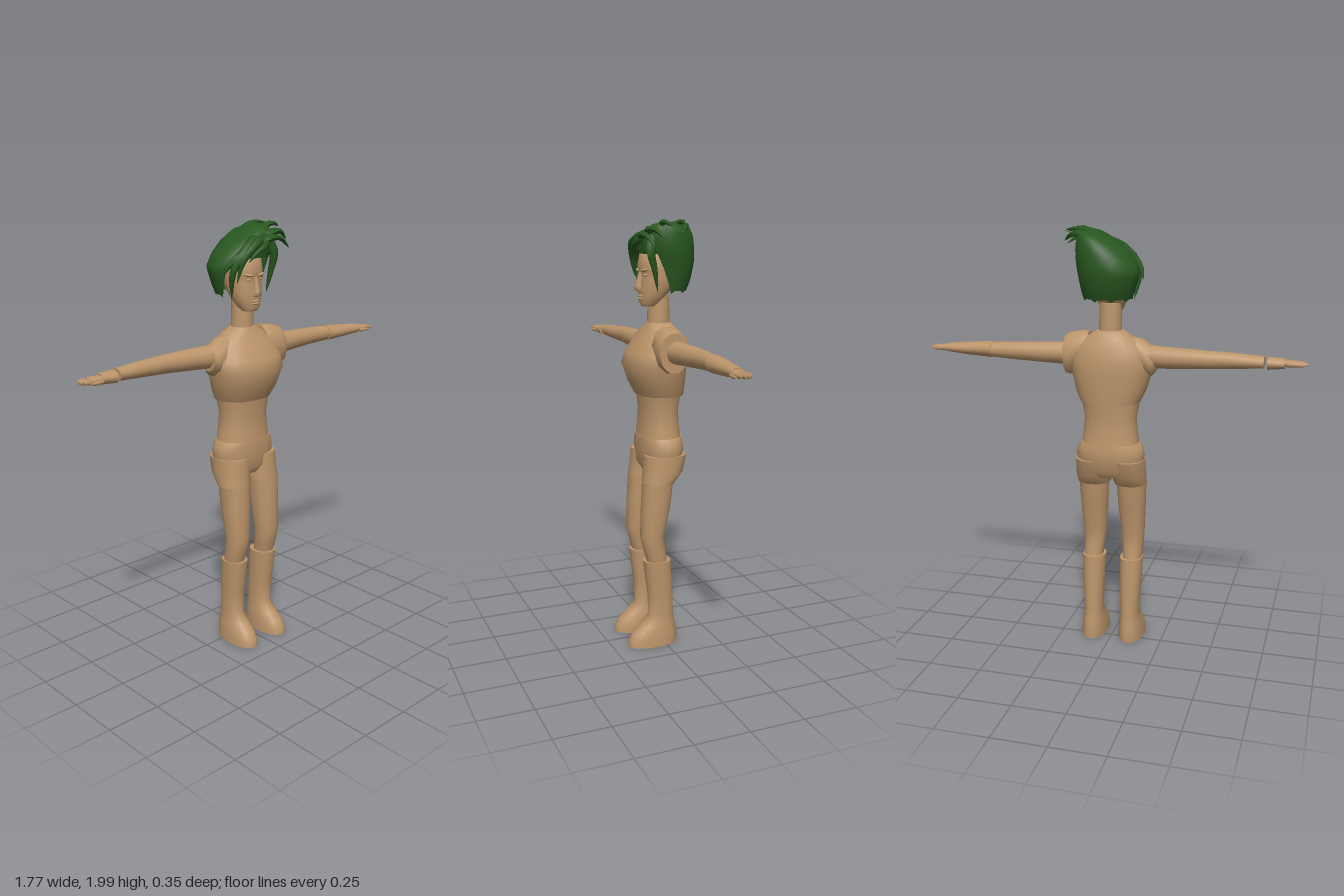
import * as THREE from 'three';

const skin = new THREE.MeshStandardMaterial({ color: 0xbb946a });
skin.name = 'skin';
const hairGreen = new THREE.MeshStandardMaterial({ color: 0x28561f, side: THREE.DoubleSide });
hairGreen.name = 'hair green';

// Closed skin over rings of points; caps have their own corners so rims stay sharp
function skinRings(rings, capStart = true, capEnd = true) {
  const n = rings[0].length, pos = [], idx = [];
  rings.forEach(r => r.forEach(p => pos.push(...p)));
  for (let i = 0; i < rings.length - 1; i++) for (let j = 0; j < n; j++) {
    const a = i * n + j, b = i * n + (j + 1) % n;
    idx.push(a, b, a + n, b, b + n, a + n);
  }
  const cap = (ring, flip) => {
    const base = pos.length / 3;
    const mid = [0, 1, 2].map(k => ring.reduce((s, p) => s + p[k], 0) / n);
    ring.forEach(p => pos.push(...p));
    pos.push(...mid);
    for (let j = 0; j < n; j++) {
      const a = base + j, b = base + (j + 1) % n;
      idx.push(...(flip ? [b, a, base + n] : [a, b, base + n]));
    }
  };
  if (capStart) cap(rings[0], true);
  if (capEnd) cap(rings[rings.length - 1], false);
  // Turn the faces outward whichever way the rings run
  let vol = 0;
  const v = i => new THREE.Vector3(pos[3 * i], pos[3 * i + 1], pos[3 * i + 2]);
  const ref = v(0);
  for (let i = 0; i < idx.length; i += 3) {
    vol += v(idx[i]).sub(ref).dot(v(idx[i + 1]).sub(ref).cross(v(idx[i + 2]).sub(ref)));
  }
  if (vol < 0) idx.reverse();
  const g = new THREE.BufferGeometry();
  g.setAttribute('position', new THREE.Float32BufferAttribute(pos, 3));
  g.setIndex(idx);
  g.computeVertexNormals();
  return g;
}

// Sections are [position along axis, low, high, back z, front z]
function loft(sections, { axis = 'y', sides = 20, e = 0.9 } = {}) {
  const pw = t => Math.sign(t) * Math.pow(Math.abs(t), e);
  return skinRings(sections.map(([t, a0, a1, z0, z1]) => Array.from({ length: sides }, (_, j) => {
    const th = (j + 0.5) / sides * Math.PI * 2;
    const a = (a0 + a1) / 2 + (a1 - a0) / 2 * pw(Math.cos(th));
    const z = (z0 + z1) / 2 + (z1 - z0) / 2 * pw(Math.sin(th));
    return axis === 'y' ? [a, t, z] : [t, a, z];
  })));
}

// Lock of hair: a tube narrowing to a point
function lock(points, radius) {
  const curve = new THREE.CatmullRomCurve3(points.map(p => new THREE.Vector3(...p)));
  const g = new THREE.TubeGeometry(curve, 8, radius, 6);
  const p = g.attributes.position, q = new THREE.Vector3();
  for (let i = 0; i < p.count; i++) {
    const t = Math.floor(i / 7) / 8, c = curve.getPointAt(t);
    q.fromBufferAttribute(p, i).sub(c).multiplyScalar(0.02 + 0.98 * Math.pow(1 - t, 0.7)).add(c);
    p.setXYZ(i, q.x, q.y, q.z);
  }
  g.computeVertexNormals();
  return g;
}

// Hair cap: the profile is followed down to a hem that rises over the face
function hairCap() {
  const prof = [
    [1.66, -0.10, 0.11, -0.13, 0.04], [1.72, -0.12, 0.125, -0.158, 0.055],
    [1.80, -0.145, 0.14, -0.177, 0.07], [1.86, -0.115, 0.15, -0.172, 0.085],
    [1.91, -0.065, 0.15, -0.16, 0.085], [1.95, -0.005, 0.145, -0.14, 0.07],
    [1.975, 0.04, 0.135, -0.11, 0.045], [1.985, 0.08, 0.115, -0.05, 0.0]];
  const at = y => {
    let i = 0;
    while (i < prof.length - 2 && prof[i + 1][0] < y) i++;
    const k = (y - prof[i][0]) / (prof[i + 1][0] - prof[i][0]);
    return prof[i].map((p, m) => p + (prof[i + 1][m] - p) * k);
  };
  const n = 36, rows = 12, rings = [];
  for (let r = 0; r <= rows; r++) {
    rings.push(Array.from({ length: n }, (_, j) => {
      const th = j / n * Math.PI * 2, deg = Math.abs(((j / n * 360 + 180) % 360) - 180);
      const jag = j % 4 === 0 ? 0 : 0.012;
      const hem = deg < 50 ? 1.845 : deg < 78 ? 1.845 - (deg - 50) / 28 * 0.175 : 1.67 + jag;
      const y = hem + (1.985 - hem) * r / rows;
      const [, x0, x1, z0, z1] = at(y);
      return [(x0 + x1) / 2 + (x1 - x0) / 2 * Math.sin(th), y, (z0 + z1) / 2 + (z1 - z0) / 2 * Math.cos(th)];
    }));
  }
  return skinRings(rings, false, true);
}

export function createModel() {
  const model = new THREE.Group();
  model.name = 'figure';
  const add = (name, geo, mat = skin, parent = model) => {
    const m = new THREE.Mesh(geo, mat);
    m.name = name;
    parent.add(m);
    return m;
  };

  // Torso
  add('chest', loft([
    [1.205, -0.14, 0.14, -0.122, 0.09], [1.26, -0.165, 0.165, -0.126, 0.118],
    [1.345, -0.188, 0.188, -0.13, 0.147], [1.40, -0.19, 0.19, -0.128, 0.125],
    [1.46, -0.165, 0.165, -0.115, 0.085], [1.505, -0.11, 0.11, -0.095, 0.055],
    [1.535, -0.06, 0.06, -0.07, 0.04]], { sides: 28 }));
  add('waist', loft([
    [1.0, -0.137, 0.137, -0.11, 0.082], [1.06, -0.128, 0.128, -0.102, 0.076],
    [1.13, -0.122, 0.122, -0.098, 0.072], [1.21, -0.137, 0.137, -0.105, 0.08]], { sides: 24 }));
  add('pelvis', loft([
    [0.845, -0.12, 0.12, -0.08, 0.06], [0.88, -0.155, 0.155, -0.106, 0.082],
    [0.95, -0.162, 0.162, -0.117, 0.085], [0.985, -0.158, 0.158, -0.115, 0.085],
    [1.01, -0.14, 0.14, -0.112, 0.084]], { sides: 24 }));
  add('neck', loft([
    [1.52, -0.053, 0.053, -0.068, 0.037], [1.66, -0.05, 0.05, -0.064, 0.032]], { e: 1 }));

  // Legs
  for (const s of [1, -1]) {
    const side = s > 0 ? 'left' : 'right';
    const leg = new THREE.Group();
    leg.name = side + 'Leg';
    model.add(leg);
    const flip = rows => rows.map(([y, a, b, c, d]) => [y, Math.min(s * a, s * b), Math.max(s * a, s * b), c, d]);
    add('hip', loft(flip([
      [0.80, 0.012, 0.166, -0.052, 0.098], [0.85, 0.006, 0.166, -0.095, 0.092],
      [0.93, 0.0, 0.164, -0.115, 0.086]])), skin, leg);
    add('thigh', loft(flip([
      [0.41, 0.052, 0.142, -0.015, 0.078], [0.47, 0.046, 0.146, -0.008, 0.095],
      [0.54, 0.038, 0.15, 0.0, 0.11], [0.68, 0.028, 0.158, -0.03, 0.105],
      [0.81, 0.02, 0.163, -0.046, 0.097]])), skin, leg);
    add('boot', loft(flip([
      [0, 0.032, 0.156, -0.066, 0.175], [0.03, 0.033, 0.154, -0.067, 0.172],
      [0.065, 0.036, 0.15, -0.064, 0.15], [0.10, 0.04, 0.143, -0.058, 0.11],
      [0.145, 0.046, 0.136, -0.052, 0.07], [0.25, 0.042, 0.142, -0.048, 0.075],
      [0.36, 0.038, 0.147, -0.04, 0.09], [0.42, 0.037, 0.149, -0.036, 0.096]])), skin, leg);
  }

  // Arms; the right forearm ends short of a separate wrist band
  const armRows = [
    [0.17, 1.365, 1.472, -0.07, 0.038], [0.30, 1.372, 1.468, -0.075, 0.022],
    [0.45, 1.38, 1.462, -0.073, 0.006], [0.57, 1.386, 1.457, -0.067, 0.012],
    [0.70, 1.393, 1.447, -0.057, 0.014]];
  for (const s of [1, -1]) {
    const arm = new THREE.Group();
    arm.name = (s > 0 ? 'left' : 'right') + 'Arm';
    model.add(arm);
    const put = (name, rows, opt = {}) => add(name,
      loft(rows.map(r => [s * r[0], ...r.slice(1)]), { axis: 'x', sides: 16, e: 1, ...opt }), skin, arm);
    if (s > 0) {
      put('upperArm', armRows.slice(0, 4));
      put('forearm', [[0.57, 1.383, 1.46, -0.07, 0.016], [0.70, 1.39, 1.449, -0.06, 0.018],
        [0.795, 1.398, 1.44, -0.048, 0.018]]);
      put('shoulderPad', [[0.10, 1.40, 1.525, -0.07, 0.05], [0.125, 1.36, 1.53, -0.088, 0.068],
        [0.185, 1.32, 1.522, -0.092, 0.078], [0.212, 1.325, 1.51, -0.08, 0.066]], { sides: 10 });
    } else {
      put('arm', armRows);
      put('wristBand', [[0.715, 1.388, 1.445, -0.06, 0.02], [0.79, 1.395, 1.441, -0.05, 0.018]]);
      put('shoulderPad', [[0.10, 1.38, 1.51, -0.07, 0.04], [0.15, 1.35, 1.50, -0.08, 0.055],
        [0.195, 1.33, 1.47, -0.076, 0.055], [0.217, 1.355, 1.463, -0.065, 0.045]], { sides: 10 });
    }
    put('palm', [[0.78, 1.404, 1.434, -0.04, 0.014], [0.81, 1.402, 1.434, -0.045, 0.02],
      [0.85, 1.406, 1.431, -0.044, 0.018]], { e: 0.8 });
    for (let f = 0; f < 4; f++) {
      const z = -0.043 + f * 0.0155, end = f === 0 || f === 3 ? 0.876 : 0.887;
      put('finger', [[0.84, 1.407, 1.43, z, z + 0.0145], [end - 0.01, 1.408, 1.427, z, z + 0.0145],
        [end, 1.412, 1.423, z + 0.004, z + 0.011]], { sides: 8 });
    }
    put('thumb', [[0.79, 1.403, 1.423, 0.002, 0.02], [0.82, 1.402, 1.42, 0.008, 0.026],
      [0.85, 1.406, 1.416, 0.014, 0.024]], { sides: 8 });
  }

  // Head and face
  const head = new THREE.Group();
  head.name = 'head';
  model.add(head);
  add('skull', loft([
    [1.61, -0.036, 0.036, 0.0, 0.064], [1.625, -0.048, 0.048, -0.025, 0.073],
    [1.66, -0.066, 0.066, -0.05, 0.074], [1.70, -0.077, 0.077, -0.085, 0.075],
    [1.74, -0.082, 0.082, -0.10, 0.07], [1.765, -0.083, 0.083, -0.108, 0.072],
    [1.785, -0.084, 0.084, -0.11, 0.08], [1.84, -0.08, 0.08, -0.11, 0.07],
    [1.88, -0.06, 0.06, -0.09, 0.035], [1.90, -0.03, 0.03, -0.05, 0.0]], { sides: 24 }), skin, head);
  add('nose', loft([
    [1.675, -0.012, 0.012, 0.05, 0.082], [1.685, -0.017, 0.017, 0.05, 0.101],
    [1.70, -0.013, 0.013, 0.05, 0.097], [1.765, -0.008, 0.008, 0.05, 0.08]], { sides: 8 }), skin, head);
  for (const y of [1.645, 1.656]) {
    const lip = add('lip', new THREE.SphereGeometry(1, 12, 8), skin, head);
    lip.scale.set(0.024, 0.006, 0.011);
    lip.position.set(0, y, 0.072);
  }
  for (const s of [1, -1]) {
    const brow = add('brow', new THREE.SphereGeometry(1, 12, 8), skin, head);
    brow.scale.set(0.026, 0.007, 0.012);
    brow.position.set(s * 0.036, 1.772, 0.066);
    brow.rotation.set(0, s * 0.4, s * 0.15);
    const eye = add('eye', new THREE.SphereGeometry(1, 12, 8), skin, head);
    eye.scale.set(0.015, 0.006, 0.009);
    eye.position.set(s * 0.035, 1.75, 0.062);
  }

  // Hair: cap, swept fringe and tufts blown to the left
  const hair = new THREE.Group();
  hair.name = 'hair';
  model.add(hair);
  add('hairCap', hairCap(), hairGreen, hair);
  const locks = [
    [[[0.06, 1.93, 0.06], [-0.03, 1.90, 0.095], [-0.085, 1.83, 0.08], [-0.10, 1.74, 0.06]], 0.026],
    [[[0.02, 1.92, 0.05], [-0.07, 1.87, 0.07], [-0.115, 1.79, 0.05], [-0.10, 1.67, 0.025]], 0.03],
    [[[0.0, 1.90, 0.05], [-0.08, 1.86, 0.06], [-0.13, 1.81, 0.03], [-0.145, 1.76, 0.01]], 0.028],
    [[[0.08, 1.94, 0.05], [0.03, 1.90, 0.10], [-0.02, 1.87, 0.10], [-0.06, 1.83, 0.09]], 0.024],
    [[[0.09, 1.92, 0.05], [0.115, 1.86, 0.068], [0.115, 1.78, 0.05], [0.105, 1.68, 0.03]], 0.026],
    [[[0.02, 1.93, 0.02], [0.09, 1.965, 0.01], [0.15, 1.985, 0.02], [0.21, 1.965, 0.0]], 0.024],
    [[[0.02, 1.94, -0.05], [0.09, 1.975, -0.07], [0.15, 1.985, -0.07], [0.20, 1.975, -0.05]], 0.022],
    [[[0.04, 1.92, 0.05], [0.10, 1.95, 0.07], [0.16, 1.95, 0.06], [0.22, 1.91, 0.04]], 0.024],
    [[[0.0, 1.90, 0.07], [0.08, 1.93, 0.095], [0.14, 1.92, 0.09], [0.20, 1.875, 0.08]], 0.022],
    [[[0.08, 1.95, -0.08], [0.13, 1.965, -0.09], [0.17, 1.955, -0.07], [0.205, 1.93, -0.04]], 0.022]];
  locks.forEach(([pts, r]) => add('lock', lock(pts, r), hairGreen, hair));
  return model;
}
